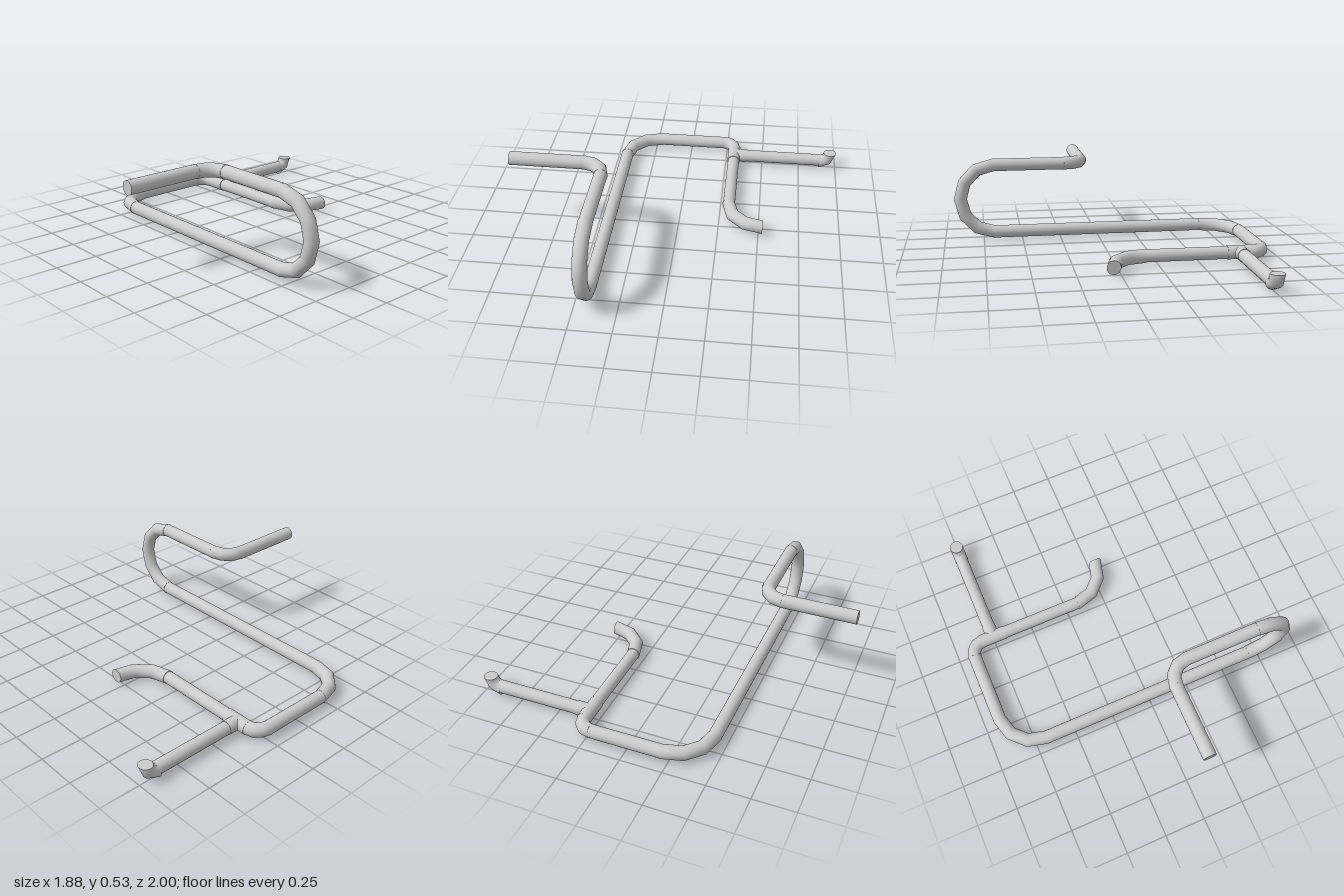
import * as THREE from 'three';

const SIDES = 32, PIPE = 0.04, FIT = 0.0415;
const material = new THREE.MeshStandardMaterial({ color: 0xcccccc, side: THREE.DoubleSide });
const V = (p) => new THREE.Vector3(...p);

export function createModel() {
  const model = new THREE.Group();

  const add = (name, geometry) => {
    const mesh = new THREE.Mesh(geometry, material);
    mesh.name = name;
    model.add(mesh);
    return mesh;
  };

  // Straight length of pipe between two points
  const pipe = (name, from, to, radius = PIPE) => {
    const a = V(from), b = V(to), d = b.clone().sub(a);
    const mesh = add(name, new THREE.CylinderGeometry(radius, radius, d.length(), SIDES));
    mesh.position.copy(a).add(b).multiplyScalar(0.5);
    mesh.quaternion.setFromUnitVectors(new THREE.Vector3(0, 1, 0), d.normalize());
  };

  // Segmented quarter bend from a to b, turning round the square corner c
  const bend = (name, from, corner, to, segments = 3) => {
    const a = V(from), b = V(to), c = V(corner);
    const curve = new THREE.CubicBezierCurve3(a, a.clone().lerp(c, 0.552), b.clone().lerp(c, 0.552), b);
    add(name, new THREE.TubeGeometry(curve, segments, FIT, SIDES));
    // Flat discs close both ends
    for (const [end, dir] of [[a, a.clone().sub(c)], [b, b.clone().sub(c)]]) {
      const disc = add(name + 'End', new THREE.CircleGeometry(FIT, SIDES));
      disc.position.copy(end);
      disc.quaternion.setFromUnitVectors(new THREE.Vector3(0, 0, 1), dir.normalize());
    }
  };

  const lo = 0.055, hi = 0.495, mid = 0.275, front = 0.43, back = -0.305;

  // Upper run
  pipe('inletPipe', [0.105, hi, 1], [0.105, hi, 0.55], 0.041);
  bend('inletBend', [0.105, hi, 0.55], [0.105, hi, front], [0.225, hi, front]);
  pipe('upperPipe', [0.225, hi, front], [0.68, hi, front]);

  // U-turn made of two quarter bends
  bend('upperReturnBend', [0.68, hi, front], [0.895, hi, front], [0.895, mid, front]);
  bend('lowerReturnBend', [0.895, mid, front], [0.895, lo, front], [0.68, lo, front]);

  // Lower run round the right side
  pipe('frontPipe', [0.68, lo, front], [-0.68, lo, front]);
  bend('frontCornerBend', [-0.68, lo, front], [-0.9, lo, front], [-0.9, lo, 0.21]);
  pipe('sidePipe', [-0.9, lo, 0.21], [-0.9, lo, -0.225]);
  bend('backCornerBend', [-0.9, lo, -0.225], [-0.9, lo, back], [-0.82, lo, back]);
  pipe('backPipe', [-0.82, lo, back], [-0.17, lo, back], 0.038);
  bend('outletBend', [-0.17, lo, back], [0.045, lo, back], [0.045, lo, -0.525]);

  // Tee and branch with an upturned elbow
  pipe('teeBody', [-0.83, lo, back], [-0.67, lo, back], FIT);
  pipe('teeBranch', [-0.75, lo, back], [-0.75, lo, -0.395], FIT);
  pipe('branchPipe', [-0.75, lo, -0.395], [-0.75, lo, -0.9], 0.039);
  bend('branchElbow', [-0.75, 0.045, -0.887], [-0.75, 0.045, -0.957], [-0.75, 0.115, -0.957], 2);

  return model;
}
